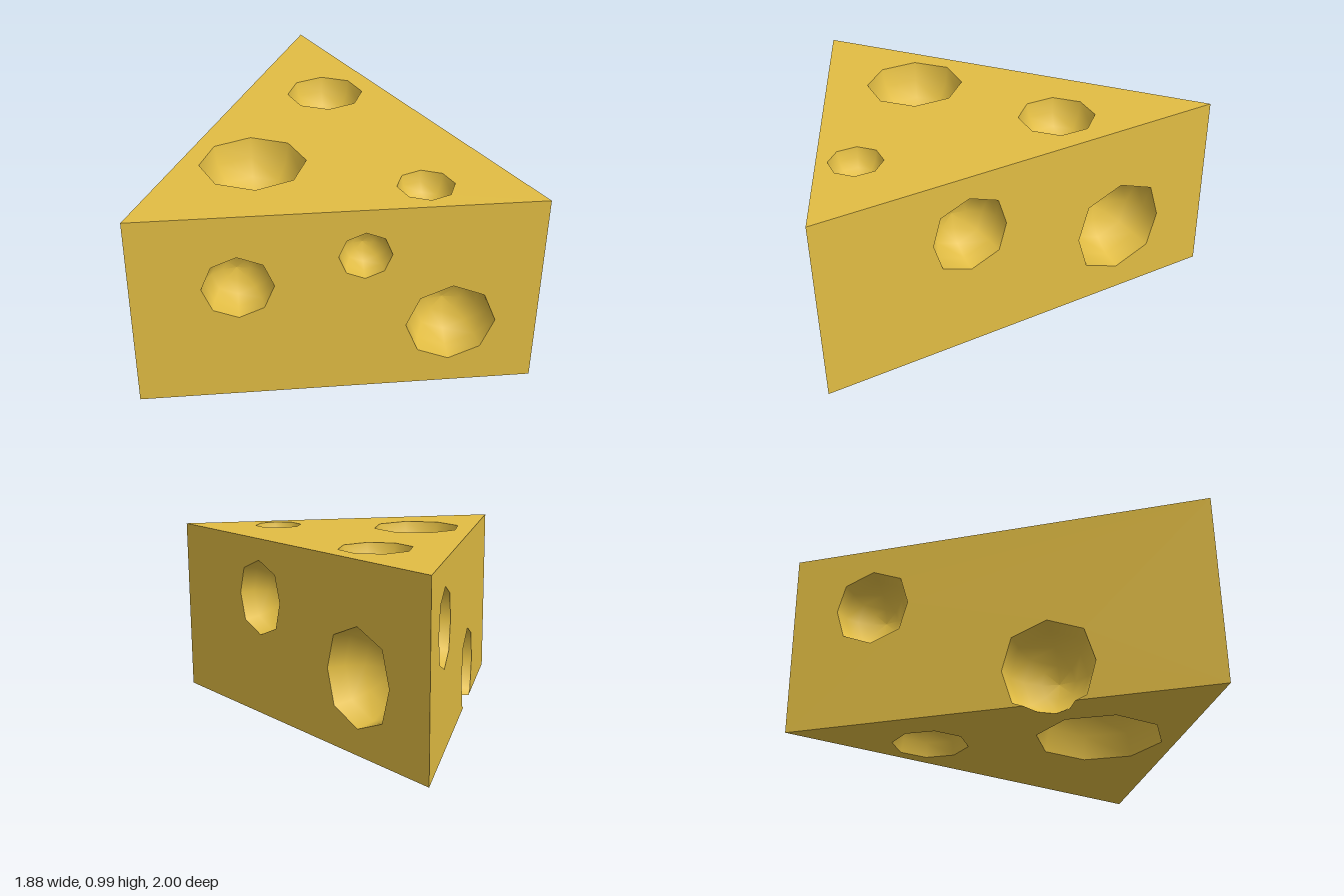
import * as THREE from 'three';

const H = 0.99, W = 0.94;                 // wedge height and half width
const EDGE = Math.hypot(W, 2), HALF = EDGE / 2; // sloping side length
const cheese = new THREE.MeshStandardMaterial({ color: 0xe2bd43 });
cheese.name = 'cheese yellow';

// Slight horizontal distortion of the bowls on the sloping sides
const skew = (x, y, slanted) => {
  if (!slanted) return x;
  return Math.abs(y) < 1e-4 ? x * 0.95 : x * 1.05;
};

// Eight-sided rim point of a hole, k counted in 45 degree steps
function rimPoint([u, v, r], k, slanted) {
  const x = r * Math.cos(k * Math.PI / 4), y = r * Math.sin(k * Math.PI / 4);
  return new THREE.Vector2(u + skew(x, y, slanted), v + y);
}

// Keep only the part of a geometry with local y >= 0
function clipBelow(geometry) {
  const g = geometry.toNonIndexed();
  const P = g.attributes.position, N = g.attributes.normal;
  const pos = [], nor = [];
  for (let i = 0; i < P.count; i += 3) {
    const tri = [0, 1, 2].map(j => ({
      p: new THREE.Vector3().fromBufferAttribute(P, i + j),
      n: new THREE.Vector3().fromBufferAttribute(N, i + j),
    }));
    const poly = [];
    tri.forEach((a, j) => {
      const b = tri[(j + 1) % 3];
      if (a.p.y >= 0) poly.push(a);
      if ((a.p.y >= 0) !== (b.p.y >= 0)) {
        const t = a.p.y / (a.p.y - b.p.y);
        poly.push({ p: a.p.clone().lerp(b.p, t), n: a.n.clone().lerp(b.n, t).normalize() });
      }
    });
    for (let j = 1; j + 1 < poly.length; j++) {
      for (const c of [poly[0], poly[j], poly[j + 1]]) {
        pos.push(...c.p.toArray());
        nor.push(...c.n.toArray());
      }
    }
  }
  const out = new THREE.BufferGeometry();
  out.setAttribute('position', new THREE.Float32BufferAttribute(pos, 3));
  out.setAttribute('normal', new THREE.Float32BufferAttribute(nor, 3));
  return out;
}

// Half-sphere hollow, sunk behind the local z = 0 plane and facing inwards
function bowl([u, v, r], slanted) {
  const profile = [];
  for (let i = 0; i <= 4; i++) {
    const a = i * Math.PI / 8;
    profile.push(new THREE.Vector2(i === 4 ? 0 : r * Math.cos(a), -r * Math.sin(a)));
  }
  const g = new THREE.LatheGeometry(profile, 8).rotateX(Math.PI / 2);
  const p = g.attributes.position;
  for (let i = 0; i < p.count; i++) p.setX(i, skew(p.getX(i), p.getY(i), slanted));
  g.translate(u, v, 0);
  return v < r && slanted ? clipBelow(g) : g;
}

// One flat face with hollows; `open` holes already cut the outline
function face(name, outline, holes, { slanted = false, open = [] } = {}) {
  const group = new THREE.Group();
  group.name = name;
  const shape = new THREE.Shape(outline.map(p => (p.isVector2 ? p : new THREE.Vector2(...p))));
  for (const h of holes) {
    const ring = [0, 1, 2, 3, 4, 5, 6, 7].map(k => rimPoint(h, k, slanted));
    shape.holes.push(new THREE.Path(ring));
  }
  const plate = new THREE.Mesh(new THREE.ShapeGeometry(shape), cheese);
  plate.name = name + 'Surface';
  group.add(plate);
  [...holes, ...open].forEach((h, i) => {
    const m = new THREE.Mesh(bowl(h, slanted), cheese);
    m.name = name + 'Hole' + (i + 1);
    group.add(m);
  });
  return group;
}

export function createModel() {
  const model = new THREE.Group();
  model.name = 'cheeseWedge';
  const rect = w => [[-w, 0], [w, 0], [w, H], [-w, H]];

  // Wide front
  const front = face('front', rect(W), [[-0.455, 0.615, 0.165], [0.12, 0.75, 0.122], [0.53, 0.345, 0.212]]);
  front.position.z = 1;

  // Top (local y points to the back)
  const top = face('top', [[-W, -1], [W, -1], [0, 1]],
    [[0.06, 0.19, 0.197], [-0.355, -0.53, 0.252], [0.415, -0.81, 0.134]]);
  top.rotation.x = -Math.PI / 2;
  top.position.y = H;

  // Sloping side at +x (local x points to the tip)
  const angle = Math.atan2(2, -W);
  const leftSide = face('leftSide', rect(HALF), [[-0.31, 0.663, 0.208], [0.565, 0.4, 0.261]], { slanted: true });
  leftSide.rotation.y = angle;
  leftSide.position.x = W / 2;

  // Sloping side at -x, with a hollow that breaks through the bottom edge
  const notch = [0.265, 0.195, 0.245], chord = 0.126;
  const rim = [5, 4, 3, 2, 1, 0, -1].map(k => rimPoint(notch, k, true));
  const outline = [[-HALF, 0], [notch[0] - chord, 0], ...rim, [notch[0] + chord, 0], [HALF, 0], [HALF, H], [-HALF, H]];
  const rightSide = face('rightSide', outline, [[-0.663, 0.65, 0.207]], { slanted: true, open: [notch] });
  rightSide.rotation.y = -angle;
  rightSide.position.x = -W / 2;

  // Bottom (local y points to the front), bitten by the broken hollow
  const ax = -W / EDGE, az = 2 / EDGE;
  const bite = [[chord, 0], [0.079, 0.094], [0, 0.14], [-0.079, 0.094], [-chord, 0]].map(([w, d]) => [
    -W / 2 + (notch[0] + w) * ax + d * az,
    (notch[0] + w) * az - d * ax,
  ]);
  const bottom = face('bottom', [[0, -1], [W, 1], [-W, 1], ...bite],
    [[0.065, -0.255, 0.2], [-0.153, 0.594, 0.33]]);
  bottom.rotation.x = Math.PI / 2;

  model.add(front, top, leftSide, rightSide, bottom);
  return model;
}
